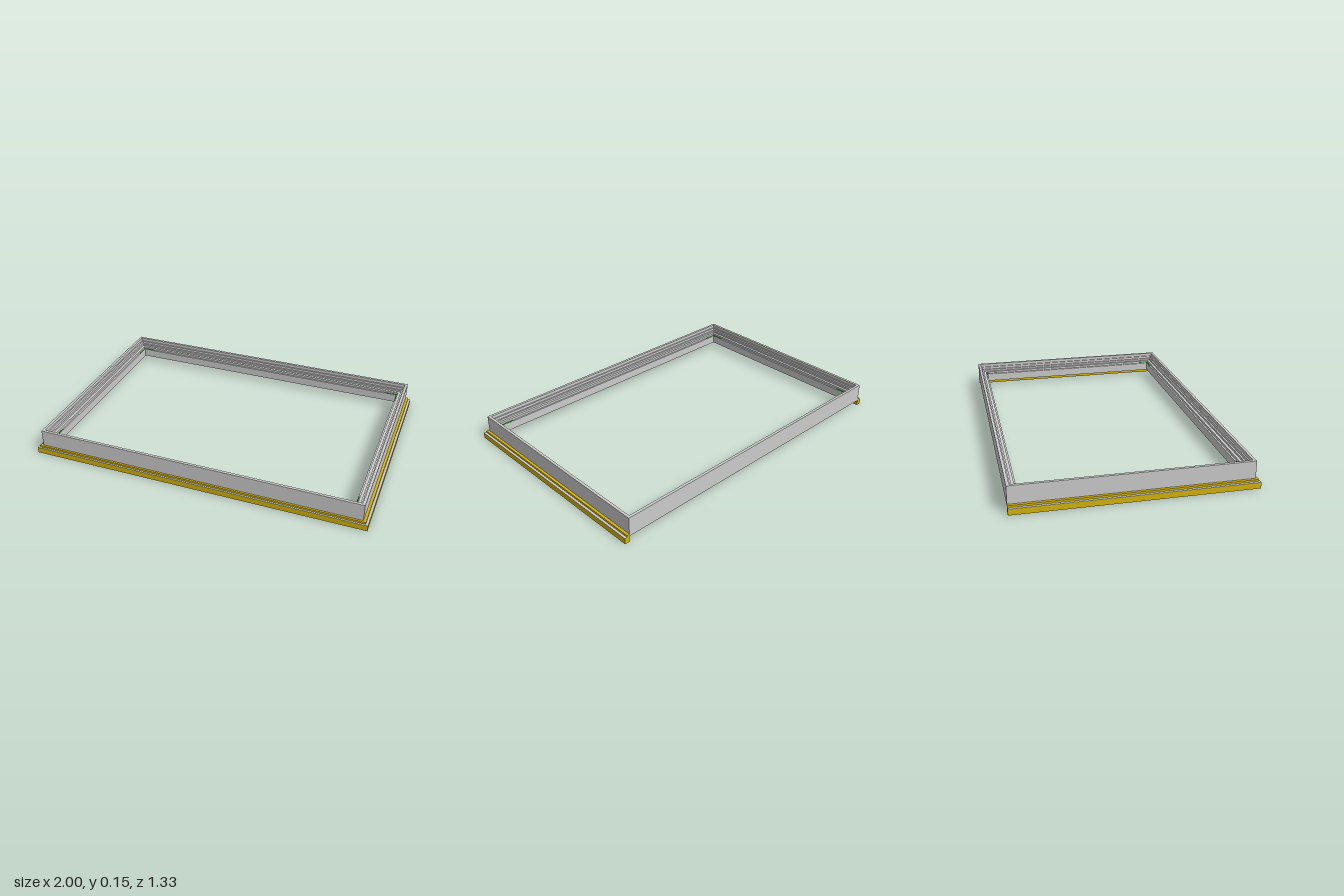
import * as THREE from 'three';

const HW = 0.97, FRONT = 0.645, BACK = -0.665;

// Sweeps a profile of [inset, y] points around mitred corners.
// Closed: all four sides. Open: left, front and right, square-cut at the back.
function sweep(profile, closed, sideScale = 1) {
  const station = (sx, isFront) => profile.map(([d, y]) => new THREE.Vector3(
    sx * (HW - d * (d < 0 ? sideScale : 1)), y,
    isFront ? FRONT - d : closed ? BACK + d : BACK));
  const rings = [station(-1, false), station(-1, true), station(1, true), station(1, false)];
  const pos = [];
  const tri = (...pts) => pts.forEach(p => pos.push(p.x, p.y, p.z));
  const n = profile.length;
  for (let i = 0; i < (closed ? 4 : 3); i++) {
    const a = rings[i], b = rings[(i + 1) % 4];
    for (let j = 0; j < n; j++) {
      const k = (j + 1) % n;
      tri(a[j], b[j], b[k]);
      tri(a[j], b[k], a[k]);
    }
  }
  if (!closed) {
    const faces = THREE.ShapeUtils.triangulateShape(profile.map(p => new THREE.Vector2(...p)), []);
    for (const ring of [rings[0], rings[3]]) for (const f of faces) tri(...f.map(i => ring[i]));
  }
  const g = new THREE.BufferGeometry();
  g.setAttribute('position', new THREE.Float32BufferAttribute(pos, 3));
  g.computeVertexNormals();
  return g;
}

export function createModel() {
  const model = new THREE.Group();
  const mat = color => new THREE.MeshStandardMaterial({ color, side: THREE.DoubleSide });
  const grey = mat(0xcccccc), yellow = mat(0xd4b40c), green = mat(0x33aa33);
  const add = (name, geometry, material) => {
    const mesh = new THREE.Mesh(geometry, material);
    mesh.name = name;
    model.add(mesh);
    return mesh;
  };

  // Main frame: rim, stepped rebate, inner lip and grooved underside
  add('frame', sweep([
    [0, 0.035], [0, 0.148], [0.016, 0.148], [0.016, 0.128], [0.024, 0.128],
    [0.024, 0.112], [0.034, 0.112], [0.034, 0.1], [0.05, 0.1], [0.05, 0.086],
    [0.06, 0.086], [0.06, 0.035], [0.05, 0.035], [0.05, 0.05], [0.02, 0.05], [0.02, 0.035],
  ], true), grey);

  // Stepped outer trim on three sides
  add('trim', sweep([
    [0, 0], [-0.021, 0], [-0.021, 0.034], [-0.011, 0.034], [-0.011, 0.047], [0, 0.047],
  ], false, 1.42), yellow);

  // Thin cover strip on the trim's lower step
  add('trimCover', sweep([
    [-0.011, 0.034], [-0.021, 0.034], [-0.021, 0.0355], [-0.011, 0.0355],
  ], false, 1.42), grey);

  // Corner brackets resting on the inner ledge
  for (const sx of [-1, 1]) for (const [z, s] of [[BACK, 1], [FRONT, -1]]) {
    const alongX = add('cornerBracket', new THREE.BoxGeometry(0.08, 0.006, 0.004), green);
    alongX.position.set(sx * (HW - 0.095), 0.088, z + s * 0.057);
    const alongZ = add('cornerBracket', new THREE.BoxGeometry(0.004, 0.006, 0.08), green);
    alongZ.position.set(sx * (HW - 0.057), 0.088, z + s * 0.095);
  }
  return model;
}
